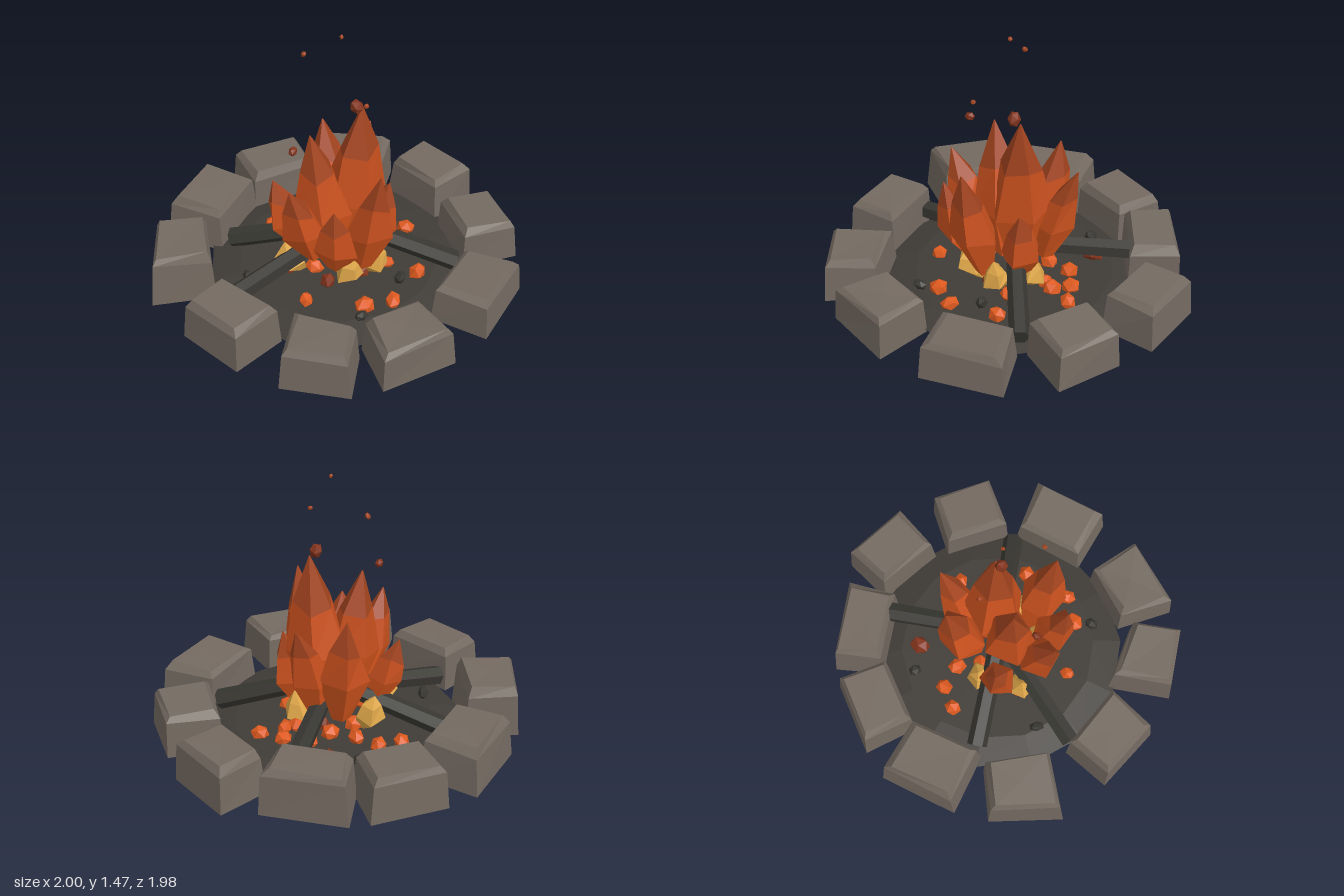
import * as THREE from 'three';

const mat = (name, color) => Object.assign(new THREE.MeshStandardMaterial({ color }), { name });

// Small seeded generator for repeatable irregularity
let seed = 11;
const rand = () => {
  seed = (seed * 16807) % 2147483647;
  return seed / 2147483647;
};
const jitter = (amount) => (rand() * 2 - 1) * amount;

// Faceted solid through rings of [x, y, z] points; one material group per band
function loft(rings) {
  const pos = [];
  const geo = new THREE.BufferGeometry();
  const n = rings[0].length;
  const tri = (...pts) => pts.forEach((p) => pos.push(...p));
  const middle = (ring) => [0, 1, 2].map((k) => ring.reduce((s, p) => s + p[k], 0) / n);
  for (let r = 0; r < rings.length - 1; r++) {
    const start = pos.length / 3;
    const lo = rings[r], hi = rings[r + 1];
    for (let i = 0; i < n; i++) {
      const j = (i + 1) % n;
      tri(lo[j], lo[i], hi[i]);
      tri(lo[j], hi[i], hi[j]);
      if (r === 0) tri(middle(lo), lo[i], lo[j]);
      if (r === rings.length - 2) tri(middle(hi), hi[j], hi[i]);
    }
    geo.addGroup(start, pos.length / 3 - start, r);
  }
  geo.setAttribute('position', new THREE.Float32BufferAttribute(pos, 3));
  geo.computeVertexNormals();
  return geo;
}

// Flat-faced copy of a built-in geometry
function faceted(source) {
  const geo = source.index ? source.toNonIndexed() : source;
  geo.computeVertexNormals();
  return geo;
}

export function createModel() {
  seed = 11;
  const stone = mat('stone', 0x746a61);
  const ash = mat('ash', 0x403c37);
  const charcoal = mat('charcoal', 0x383732);
  const flameLow = mat('flame orange', 0xdf5a1f);
  const flameMid = mat('flame deep orange', 0xc9501e);
  const flameTip = mat('flame rust', 0xa3441f);
  const glow = mat('flame yellow', 0xe0a84a);
  const emberRed = mat('ember red', 0x84341c);

  const model = new THREE.Group();
  model.name = 'campfire';
  const group = (name) => {
    const g = new THREE.Group();
    g.name = name;
    model.add(g);
    return g;
  };
  const add = (parent, name, geo, material) => {
    const mesh = new THREE.Mesh(geo, material);
    mesh.name = name;
    parent.add(mesh);
    return mesh;
  };

  // Ash bed: low mound inside the stone ring
  const bed = add(model, 'ashBed', faceted(new THREE.CylinderGeometry(0.55, 0.71, 0.035, 14)), ash);
  bed.position.y = 0.035;

  // Ring stones: height, then four footprint corners as x, z
  const stones = group('stoneRing');
  [
    [0.26, -0.36, -0.92, 0.08, -0.99, 0.12, -0.66, -0.30, -0.58],
    [0.25, 0.24, -0.93, 0.60, -0.71, 0.43, -0.46, 0.10, -0.66],
    [0.27, 0.68, -0.64, 0.88, -0.22, 0.62, -0.12, 0.44, -0.50],
    [0.26, 0.71, -0.13, 1.00, -0.08, 0.92, 0.31, 0.62, 0.25],
    [0.245, 0.57, 0.30, 0.81, 0.48, 0.61, 0.79, 0.35, 0.60],
    [0.22, -0.10, 0.67, 0.31, 0.63, 0.38, 0.94, -0.07, 0.99],
    [0.23, -0.50, 0.50, -0.20, 0.65, -0.31, 0.95, -0.69, 0.76],
    [0.245, -0.97, 0.32, -0.65, 0.17, -0.56, 0.53, -0.82, 0.66],
    [0.255, -0.95, -0.31, -0.67, -0.28, -0.69, 0.13, -1.00, 0.08],
    [0.29, -0.87, -0.60, -0.54, -0.85, -0.35, -0.63, -0.62, -0.36],
  ].forEach(([h, ...c]) => {
    const cx = (c[0] + c[2] + c[4] + c[6]) / 4;
    const cz = (c[1] + c[3] + c[5] + c[7]) / 4;
    const ring = (y, scale, wobble) => [0, 2, 4, 6].map((i) => [
      cx + (c[i] - cx) * (scale + jitter(wobble)),
      y + jitter(wobble * 0.25),
      cz + (c[i + 1] - cz) * (scale + jitter(wobble)),
    ]);
    add(stones, 'ringStone', loft([ring(0, 1, 0), ring(h * 0.82, 0.92, 0.04), ring(h * 0.98, 0.77, 0.04)]), stone);
  });

  // Logs leaning in toward the fire: outer end, then inner end
  const logs = group('logs');
  [
    [[0.62, 0.19, -0.24], [0.08, 0.23, 0.0]],
    [[0.30, 0.08, 0.58], [0.06, 0.26, 0.12]],
    [[-0.66, 0.09, -0.23], [-0.1, 0.22, -0.03]],
    [[-0.25, 0.08, -0.55], [-0.05, 0.24, -0.08]],
  ].forEach(([outer, inner]) => {
    const a = new THREE.Vector3(...outer);
    const b = new THREE.Vector3(...inner);
    const log = add(logs, 'log', faceted(new THREE.CylinderGeometry(0.05, 0.056, a.distanceTo(b), 6)), charcoal);
    log.position.copy(a).lerp(b, 0.5);
    log.quaternion.setFromUnitVectors(new THREE.Vector3(0, 1, 0), b.clone().sub(a).normalize());
  });

  // Flame tongue: five-sided spindle leaning from its body (x, z) to its tip
  const tongue = (x, z, tipX, tipZ, baseY, tipY, radius) => {
    const turn = rand() * 6;
    const section = (t, cx, cz, r) => Array.from({ length: 5 }, (_, i) => {
      const a = turn + (i / 5) * Math.PI * 2;
      const k = r * (1 + jitter(0.12));
      const y = baseY + (tipY - baseY) * t + (t > 0 && t < 1 ? jitter(0.03) : 0);
      return [cx + Math.cos(a) * k, y, cz + Math.sin(a) * k];
    });
    return loft([
      section(0, x * 0.75, z * 0.75, radius * 0.4),
      section(0.4, x, z, radius),
      section(0.7, x + (tipX - x) * 0.45, z + (tipZ - z) * 0.45, radius * 0.68),
      section(1, tipX, tipZ, 0.003),
    ]);
  };

  // Main flames
  const flames = group('flames');
  [
    [0.06, 0.06, 0.08, 0.10, 0.12, 1.03, 0.16],
    [-0.10, -0.03, -0.15, -0.07, 0.12, 0.91, 0.15],
    [-0.10, 0.28, -0.13, 0.36, 0.14, 0.81, 0.13],
    [0.12, -0.16, 0.17, -0.22, 0.14, 0.78, 0.13],
    [0.23, -0.02, 0.35, -0.03, 0.18, 0.74, 0.115],
    [-0.28, -0.02, -0.39, -0.03, 0.18, 0.70, 0.115],
    [-0.26, 0.17, -0.32, 0.20, 0.16, 0.63, 0.11],
    [-0.16, -0.23, -0.19, -0.29, 0.14, 0.55, 0.10],
    [0.12, 0.18, 0.14, 0.24, 0.12, 0.56, 0.11],
  ].forEach((f) => add(flames, 'flame', tongue(...f), [flameLow, flameMid, flameTip]));

  // Yellow glowing heart under the flames
  const heart = group('fireHeart');
  [[-0.25, -0.14], [-0.17, 0.19], [0.0, 0.24], [0.16, 0.12], [-0.04, -0.22]].forEach(([x, z]) => {
    add(heart, 'glowingTongue', tongue(x, z, x * 1.1, z * 1.1, 0.04, 0.25, 0.08), glow);
  });

  // Irregular chunk used for embers, coals and sparks
  const chunk = (parent, name, x, y, z, r, material) => {
    const m = add(parent, name, faceted(new THREE.IcosahedronGeometry(r, 0)), material);
    m.position.set(x, y, z);
    m.scale.set(1 + jitter(0.2), 0.85 + jitter(0.15), 1 + jitter(0.2));
    m.rotation.set(rand() * 3, rand() * 3, rand() * 3);
  };

  // Scattered embers
  const embers = group('embers');
  [
    [-0.01, -0.45], [0.10, -0.38], [0.36, 0.06], [0.40, 0.19], [0.11, 0.45],
    [-0.16, 0.47], [-0.28, 0.37], [-0.42, 0.09], [0.28, 0.12],
  ].forEach(([x, z]) => chunk(embers, 'ember', x, 0.067, z, 0.05, flameLow));
  chunk(embers, 'darkEmber', 0.36, 0.067, -0.26, 0.052, emberRed);
  for (let i = 0; i < 14; i++) {
    const a = i * 2.4;
    const d = 0.12 + 0.2 * (i / 14);
    chunk(embers, 'innerEmber', Math.cos(a) * d, 0.067, Math.sin(a) * d, 0.052, i % 3 ? flameLow : emberRed);
  }

  // Burnt-out coals
  const coals = group('coals');
  [[0.29, -0.40], [-0.46, -0.27], [-0.37, 0.41], [0.0, 0.41]].forEach(([x, z]) => {
    chunk(coals, 'coal', x, 0.085, z, 0.038, charcoal);
  });

  // Sparks rising above the fire
  const sparks = group('sparks');
  [
    [-0.01, 1.46, 0.03, 0.014],
    [-0.03, 1.295, -0.19, 0.019],
    [-0.11, 1.19, 0.25, 0.016],
    [0.04, 1.045, 0.09, 0.038],
    [-0.295, 0.895, -0.07, 0.03],
  ].forEach(([x, y, z, r], i) => chunk(sparks, 'spark', x, y, z, r, i < 3 ? flameTip : emberRed));

  return model;
}
